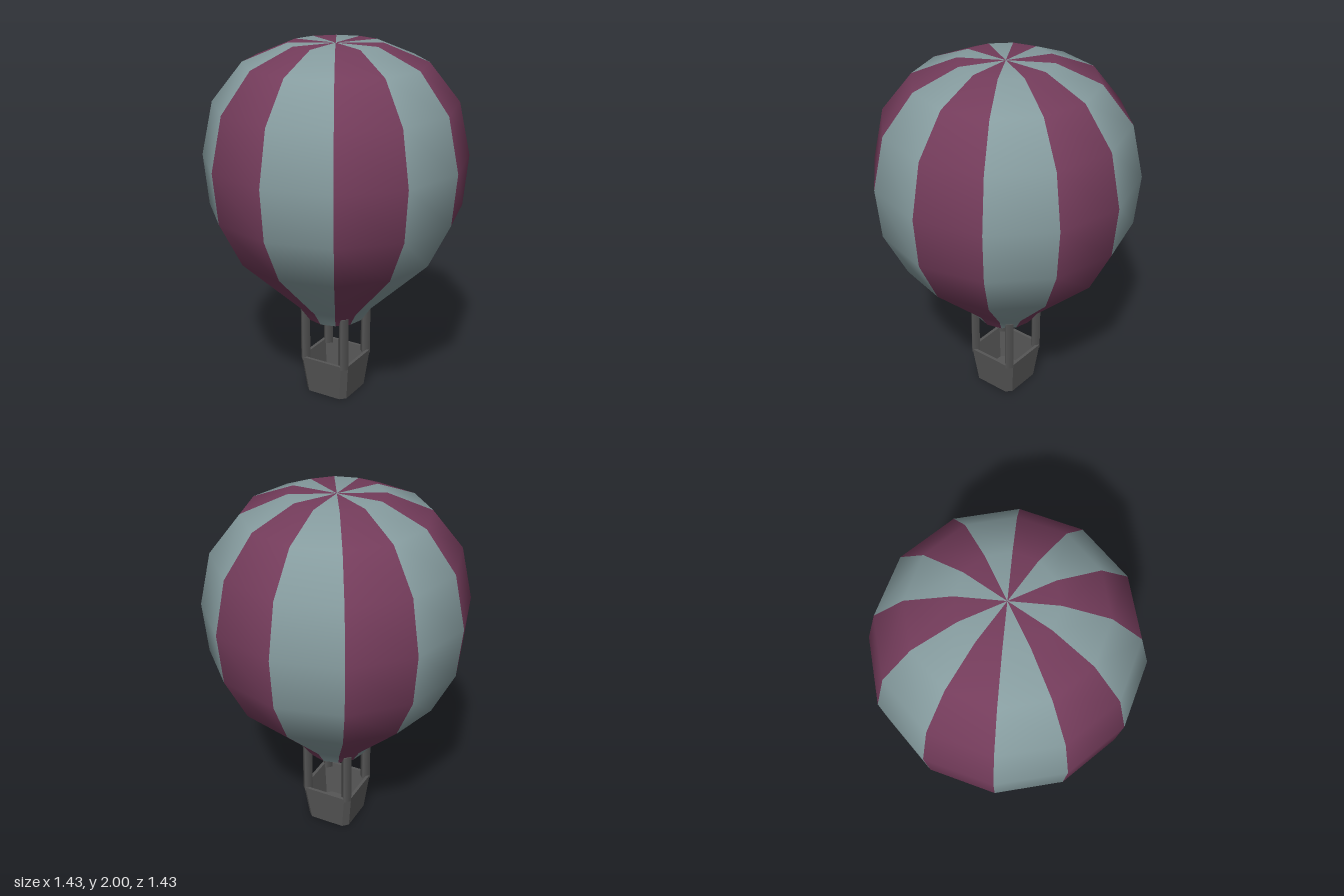
import * as THREE from 'three';

// Octagonal ring: a square of half-width w with corners cut by c
function ring(w, c, y) {
  const k = w - c;
  return [[k, w], [w, k], [w, -k], [k, -w], [-k, -w], [-w, -k], [-w, k], [-k, w]]
    .map(([x, z]) => new THREE.Vector3(x, y, z));
}

// Skin consecutive rings and close both ends with flat fans
function loft(rings) {
  const pts = [];
  const n = rings[0].length;
  for (let r = 0; r < rings.length - 1; r++) {
    for (let i = 0; i < n; i++) {
      const j = (i + 1) % n;
      const a = rings[r][i], b = rings[r][j], c = rings[r + 1][j], d = rings[r + 1][i];
      pts.push(a, b, c, a, c, d);
    }
  }
  const first = rings[0], last = rings[rings.length - 1];
  for (let i = 1; i < n - 1; i++) {
    pts.push(first[0], first[i + 1], first[i]);
    pts.push(last[0], last[i], last[i + 1]);
  }
  const geo = new THREE.BufferGeometry().setFromPoints(pts);
  geo.computeVertexNormals();
  return geo;
}

export function createModel() {
  const model = new THREE.Group();
  model.name = 'hotAirBalloon';

  const stripes = [0x869c9f, 0x743c5b].map(
    (color) => new THREE.MeshStandardMaterial({ color, side: THREE.DoubleSide }));
  const dark = new THREE.MeshStandardMaterial({ color: 0x555555 });

  // Envelope: twelve gores in alternating colours, open at the mouth
  const profile = [
    [0.165, 0.46], [0.225, 0.545], [0.565, 0.87], [0.69, 1.12], [0.717, 1.4],
    [0.655, 1.69], [0.49, 1.9], [0.25, 2.0], [0, 2.0],
  ].map(([r, y]) => new THREE.Vector2(r, y));
  const envelope = new THREE.Group();
  envelope.name = 'envelope';
  const step = Math.PI / 6;
  for (let i = 0; i < 12; i++) {
    const gore = new THREE.Mesh(new THREE.LatheGeometry(profile, 1, i * step, step), stripes[i % 2]);
    gore.name = 'gore' + (i + 1);
    envelope.add(gore);
  }
  model.add(envelope);

  // Basket: tapered hollow box with cut corners
  const basket = new THREE.Mesh(loft([
    ring(0.13, 0.03, 0), ring(0.155, 0.03, 0.22),
    ring(0.137, 0.025, 0.22), ring(0.115, 0.025, 0.02),
  ]), dark);
  basket.name = 'basket';
  model.add(basket);

  // Four corner posts, square and turned 45 degrees
  const postGeo = new THREE.CylinderGeometry(0.031, 0.031, 0.31, 4);
  for (const x of [-1, 1]) {
    for (const z of [-1, 1]) {
      const post = new THREE.Mesh(postGeo, dark);
      post.name = (z > 0 ? 'front' : 'back') + (x > 0 ? 'Left' : 'Right') + 'Post';
      post.position.set(x * 0.125, 0.355, z * 0.125);
      model.add(post);
    }
  }
  return model;
}
